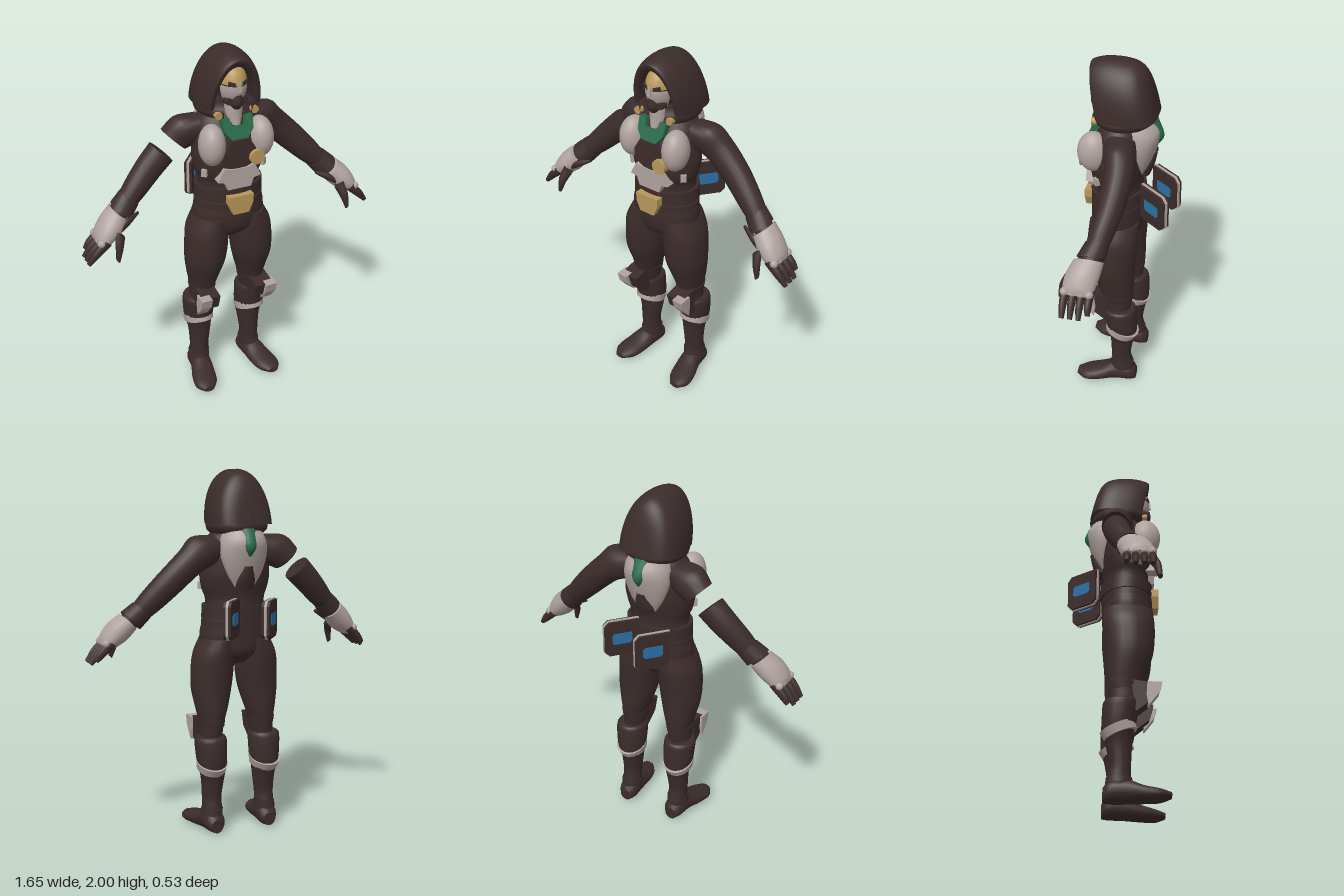
import * as THREE from 'three';
import { ParametricGeometry } from 'three/addons/geometries/ParametricGeometry.js';

const V = (x, y, z) => new THREE.Vector3(x, y, z);
const mat = (name, color) => {
  const m = new THREE.MeshStandardMaterial({ color, side: THREE.DoubleSide });
  m.name = name;
  return m;
};

// Smooth capped body through elliptical rings [x, y, z, a, b], all square to one axis
function loft(rings, axis = [0, 1, 0], n = 20, steps = 4) {
  const A = V(...axis).normalize();
  const u = Math.abs(A.x) < 0.6 ? V(1, 0, 0) : V(0, 0, 1).cross(A).normalize();
  const v = u.clone().cross(A);
  const centres = new THREE.CatmullRomCurve3(rings.map(r => V(r[0], r[1], r[2])), false, 'catmullrom');
  const radii = new THREE.CatmullRomCurve3(rings.map(r => V(r[3], r[4], 0)), false, 'catmullrom');
  const pos = [], idx = [], m = (rings.length - 1) * steps;
  const ring = t => {
    const c = centres.getPoint(t), r = radii.getPoint(t);
    for (let j = 0; j < n; j++) {
      const a = j / n * Math.PI * 2;
      pos.push(...c.clone().addScaledVector(u, r.x * Math.cos(a)).addScaledVector(v, r.y * Math.sin(a)).toArray());
    }
    return c;
  };
  for (let i = 0; i <= m; i++) ring(i / m);
  for (let i = 0; i < m; i++) for (let j = 0; j < n; j++) {
    const k = (j + 1) % n, a = i * n + j, b = i * n + k;
    idx.push(a, a + n, b, b, a + n, b + n);
  }
  for (const end of [0, 1]) {
    const s = pos.length / 3;
    pos.push(...ring(end).toArray());
    for (let j = 0; j < n; j++) {
      const a = s + j, b = s + (j + 1) % n;
      idx.push(...(end ? [s + n, b, a] : [s + n, a, b]));
    }
  }
  const g = new THREE.BufferGeometry();
  g.setAttribute('position', new THREE.Float32BufferAttribute(pos, 3));
  g.setIndex(idx);
  g.computeVertexNormals();
  return g;
}

// Flat plate from an outline
function plate(points, depth) {
  const shape = new THREE.Shape(points.map(p => new THREE.Vector2(...p)));
  return new THREE.ExtrudeGeometry(shape, { depth, bevelEnabled: false });
}
const symmetric = half => [...half, ...half.map(([x, y]) => [-x, y]).reverse()];
const sidePlate = (points, x0, x1) => plate(points, x1 - x0).rotateY(-Math.PI / 2).translate(x1, 0, 0);

// Copy mirrored to the other side, with corner order restored
function mirror(geo) {
  const g = geo.clone().scale(-1, 1, 1);
  const src = g.index ? Array.from(g.index.array) : [...Array(g.attributes.position.count).keys()];
  for (let i = 0; i < src.length; i += 3) [src[i + 1], src[i + 2]] = [src[i + 2], src[i + 1]];
  g.setIndex(src);
  return g;
}

export function createModel() {
  const root = new THREE.Group();
  root.name = 'hoodedFigure';
  const dark = mat('darkCloth', 0x3b2c2b), white = mat('paleArmour', 0xb0a39e);
  const gold = mat('gold', 0xb8975a), green = mat('green', 0x2a6b4a), blue = mat('blue', 0x2c70a6);
  const add = (name, geo, m, parent = root) => {
    const mesh = new THREE.Mesh(geo, m);
    mesh.name = name;
    parent.add(mesh);
    return mesh;
  };
  const pair = (name, geo, m) => {
    add(name + 'Left', geo, m);
    add(name + 'Right', mirror(geo), m);
  };

  // Torso, hips and belt
  add('torso', loft([[0, 1.18, .05, .18, .135], [0, 1.3, .05, .168, .13], [0, 1.36, .053, .187, .14],
    [0, 1.43, .05, .2, .147], [0, 1.5, .05, .195, .15], [0, 1.58, .042, .185, .14],
    [0, 1.64, .03, .165, .12], [0, 1.7, .03, .1, .09]], undefined, 32), dark);
  add('hips', loft([[0, .95, .05, .06, .07], [0, 1.01, .052, .17, .13], [0, 1.1, .055, .2, .142],
    [0, 1.2, .05, .182, .135]], undefined, 28), dark);
  add('belt', loft([[0, 1.2, .05, .19, .145], [0, 1.275, .05, .188, .145]], undefined, 32, 1), dark);
  add('lowerBelt', loft([[0, 1.145, .052, .192, .143], [0, 1.19, .052, .19, .143]], undefined, 32, 1), dark);
  add('buckle', plate(symmetric([[.07, 1.245], [.07, 1.2], [.045, 1.14]]), .06).translate(0, 0, .165), gold);

  // Chest armour
  pair('chestPlate', new THREE.SphereGeometry(1, 24, 16).scale(.07, .112, .085).rotateY(.15).translate(.134, 1.532, .15), white);
  add('breastbone', plate(symmetric([[.05, 1.56], [.085, 1.5], [.08, 1.44], [.04, 1.42]]), .06).translate(0, 0, .153), dark);
  add('abdomenPlate', plate(symmetric([[.045, 1.395], [.085, 1.405], [.122, 1.335], [.08, 1.325], [.065, 1.28]]), .065).translate(0, 0, .137), white);
  add('collarPlate', plate(symmetric([[.045, 1.66], [.085, 1.665], [.08, 1.59], [.045, 1.545]])
    .slice(0, 4).concat([[-.045, 1.545], [-.08, 1.59], [-.085, 1.665], [-.045, 1.66], [-.035, 1.615], [.035, 1.615]]), .05)
    .translate(0, -1.55, 0).rotateX(-.35).translate(0, 1.55, .155), green);
  add('throatPlate', loft([[0, 1.625, .115, .034, .055], [0, 1.67, .115, .045, .05], [0, 1.73, .115, .045, .05]]), white);
  add('chestDisc', new THREE.CylinderGeometry(.04, .04, .06, 24).rotateX(Math.PI / 2).translate(.085, 1.455, .203), gold);
  pair('ribTrim', new THREE.BoxGeometry(.03, .04, .03).rotateY(.7).translate(.165, 1.372, .127), white);

  // Back armour
  add('backPlate', loft([[0, 1.38, -.08, .06, .02], [0, 1.45, -.08, .1, .05], [0, 1.54, -.07, .13, .09],
    [0, 1.62, -.06, .13, .115], [0, 1.69, -.05, .1, .09]]), white);
  add('backInset', loft([[0, 1.54, -.1, .025, .06], [0, 1.6, -.09, .055, .1], [0, 1.69, -.065, .07, .085]]), green);
  add('backLowerInset', loft([[0, 1.36, -.09, .05, .03], [0, 1.42, -.09, .055, .052], [0, 1.49, -.08, .04, .077]]), dark);

  // Hood: arches [z, half width, top] from the lining over the rim to the back
  const arches = [[0, .1, 1.93], [.11, .105, 1.93], [.135, .122, 1.96], [.125, .145, 1.98], [.05, .165, 2],
    [-.05, .168, 2], [-.12, .142, 1.975], [-.153, .085, 1.9], [-.16, 0, 1.76]];
  const hoodCurve = new THREE.CatmullRomCurve3(arches.map(a => V(...a)), false, 'catmullrom');
  const hood = new ParametricGeometry((s, t, out) => {
    const p = hoodCurve.getPoint(s), a = t * Math.PI, base = 1.71;
    const y = base + (p.z - base) * Math.sin(a);
    out.set(p.y * Math.cos(a), Math.min(y, 2), p.x + .2 * (y - base));
  }, 40, 28);
  hood.computeVertexNormals();
  add('hood', hood, dark);
  add('scarf', new THREE.TorusGeometry(.127, .042, 12, 40, Math.PI * 2 - .95).rotateZ(Math.PI / 2 + .475)
    .rotateX(Math.PI / 2).translate(0, 1.7, .02), dark);
  pair('collarButton', new THREE.CylinderGeometry(.02, .02, .03, 16).rotateX(Math.PI / 2).translate(.1, 1.69, .15), gold);

  // Head and mask
  const shell = (r, from, len) => new THREE.SphereGeometry(1, 24, 12, .3, Math.PI - .6, from, len)
    .scale(.075 * r, .115 * r, .1 * r).translate(0, 1.83, .085);
  add('head', new THREE.SphereGeometry(1, 24, 16).scale(.074, .113, .098).translate(0, 1.83, .083), dark);
  add('foreheadPlate', shell(1.02, .45, 1), gold);
  add('facePlate', shell(1.02, 1.5, .95), white);
  pair('eye', new THREE.BoxGeometry(.036, .016, .016).rotateZ(.2).rotateY(.35).translate(.034, 1.853, .172), dark);
  add('noseBridge', new THREE.BoxGeometry(.018, .05, .02).rotateX(-.1).translate(0, 1.835, .183), white);
  add('respirator', loft([[0, 1.71, .135, .022, .035], [0, 1.745, .145, .036, .048], [0, 1.79, .155, .02, .035]]), dark);
  pair('cheekFilter', new THREE.CylinderGeometry(.018, .022, .04, 12).rotateX(Math.PI / 2).translate(.042, 1.755, .145), dark);

  // Arms: the right sleeve is severed between shoulder and forearm
  const down = [.7, -.714, 0];
  const upper = [[.12, 1.61, .01, .06, .075], [.2, 1.575, -.005, .1, .085], [.277, 1.522, -.02, .083, .077]];
  const lower = [[.345, 1.462, -.02, .078, .072], [.42, 1.39, -.01, .074, .068], [.5, 1.31, .01, .066, .063],
    [.57, 1.24, .03, .053, .055], [.62, 1.2, .05, .05, .055]];
  add('armLeft', loft([...upper, ...lower], down), dark);
  add('sleeveRight', mirror(loft(upper, down)), dark);
  add('forearmRight', mirror(loft(lower, down)), dark);
  pair('cuff', loft([[.545, 1.265, .025, .062, .06], [.6, 1.21, .045, .068, .072]], down), dark);
  pair('cuffSpike', loft([[.52, 1.2, .085, .008, .005], [.59, 1.17, .11, .02, .015], [.64, 1.14, .12, .02, .015]], [1, -.4, .3], 10), dark);

  // Gloves, fingers and thumbs
  pair('glove', loft([[.615, 1.205, .05, .06, .075], [.67, 1.15, .07, .066, .085], [.72, 1.1, .08, .05, .08],
    [.74, 1.075, .08, .03, .068]], down), white);
  for (let i = 0; i < 4; i++) {
    const z = .018 + .042 * i, k = i === 0 ? -.02 : 0;
    pair('finger' + (i + 1), loft([[.71, 1.1, z, .026, .021], [.77, 1.045, z, .023, .019],
      [.818 + k, .99 - k, z - .004, .012, .012]], down, 10), dark);
    pair('knuckle' + (i + 1), new THREE.SphereGeometry(.022, 10, 8).translate(.742, 1.098, z), white);
  }
  pair('thumb', loft([[.64, 1.13, .14, .032, .024], [.66, 1.07, .172, .026, .02], [.675, 1.0, .185, .013, .012]], down, 12), dark);

  // Legs, boots and feet
  pair('thigh', loft([[.155, .52, .025, .06, .07], [.15, .62, .03, .068, .09], [.145, .7, .038, .088, .105],
    [.14, .8, .055, .11, .124], [.133, .9, .058, .117, .135], [.125, 1, .055, .113, .14], [.105, 1.09, .053, .09, .135]]), dark);
  pair('shin', loft([[.165, .05, 0, .055, .065], [.16, .14, 0, .055, .06], [.16, .2, .005, .055, .056],
    [.156, .3, 0, .065, .066], [.158, .36, -.006, .076, .077], [.16, .42, 0, .086, .088],
    [.162, .52, .01, .09, .094], [.16, .545, .015, .08, .085]]), dark);
  pair('shinStripe', loft([[.16, .36, .01, .081, .09], [.16, .402, -.007, .089, .097]], [0, 1, -.4], 24), white);
  pair('kneeBand', loft([[.15, .6, .03, .07, .088], [.15, .635, .032, .076, .095]]), dark);
  pair('kneePad', sidePlate([[.06, .645], [.2, .625], [.175, .54], [.085, .47]], .11, .215), dark);
  pair('kneeTrim', sidePlate([[.145, .63], [.222, .628], [.205, .57], [.15, .5], [.14, .56]], .165, .228), white);
  pair('foot', loft([[.16, .045, -.082, .035, .038], [.16, .062, -.045, .057, .06], [.168, .063, .04, .06, .062],
    [.185, .046, .12, .07, .045], [.2, .036, .2, .066, .034], [.205, .036, .257, .03, .016]], [0, 0, 1]), dark);
  pair('ankleCuff', loft([[.162, .1, 0, .061, .07], [.16, .135, 0, .06, .066]]), dark);

  // Twin slanted cases behind the waist
  const caseOutline = (w, h, c) => [[-w, -h + c], [-w, h], [w - c, h], [w, h - c], [w, -h + c], [w - c, -h], [-w + c, -h]];
  for (const [side, x, y, z] of [['Left', .11, 1.215, -.165], ['Right', -.1, 1.21, -.19]]) {
    const box = new THREE.Group();
    box.name = 'case' + side;
    add('caseBody', plate(caseOutline(.095, .1, .025), .042).translate(0, 0, -.021), dark, box);
    add('caseSeam', plate(caseOutline(.099, .104, .027), .014).translate(0, 0, -.007), white, box);
    for (const s of [-1, 1]) {
      add('casePanel', plate(caseOutline(.055, .032, .012), .006).translate(0, 0, s * .021 - .003), blue, box);
    }
    box.position.set(x, y, z);
    box.rotation.y = .9;
    root.add(box);
  }
  return root;
}
